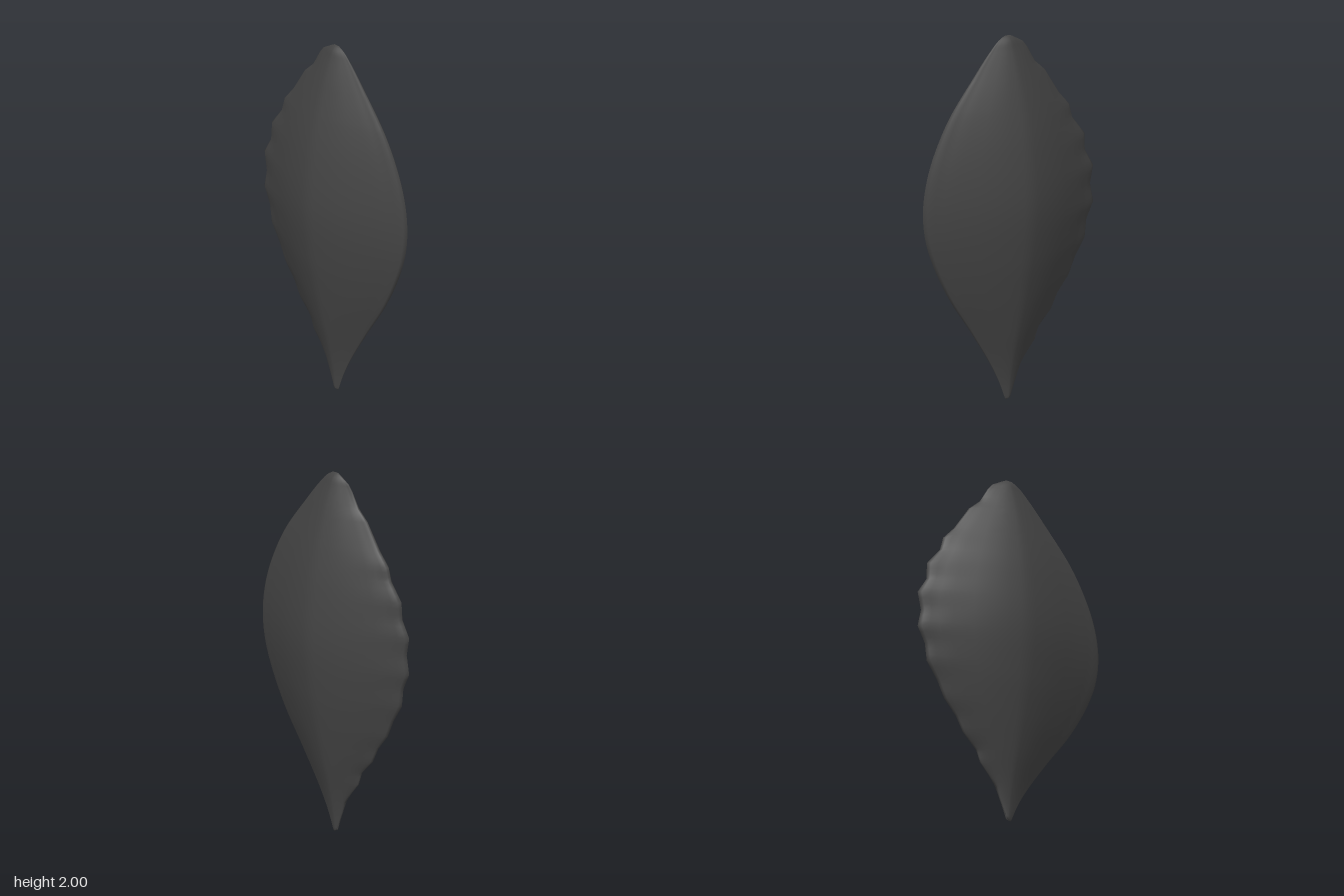
import * as THREE from 'three';

// Smooth or straight interpolation through [position, value] pairs
function curve(pairs, Type) {
  const it = new Type(pairs.map(p => p[0]), pairs.map(p => p[1]), 1, new Float32Array(1));
  return t => it.evaluate(t)[0];
}

// Profiles by height: half thickness, smooth front edge, ragged back edge
const thickness = curve([[0.01, 0.008], [0.1, 0.018], [0.2, 0.038], [0.4, 0.09], [0.6, 0.137], [0.8, 0.176], [1.1, 0.207],
  [1.4, 0.186], [1.6, 0.147], [1.8, 0.09], [1.93, 0.043], [1.98, 0.022], [2, 0.003]], THREE.CubicInterpolant);
const frontEdge = curve([[0.01, 0.022], [0.1, 0.06], [0.2, 0.115], [0.4, 0.25], [0.6, 0.395], [0.8, 0.505], [0.95, 0.56],
  [1.1, 0.578], [1.25, 0.56], [1.4, 0.51], [1.6, 0.4], [1.8, 0.235], [1.93, 0.118], [1.98, 0.062], [2, 0.025]],
  THREE.CubicInterpolant);
const teeth = [[0.01, -0.01], [0.05, 0.025], [0.12, 0.055], [0.18, 0.075], [0.24, 0.125], [0.3, 0.18], [0.37, 0.205],
  [0.45, 0.29], [0.535, 0.335], [0.62, 0.41], [0.715, 0.455], [0.81, 0.52], [0.91, 0.532], [1, 0.578], [1.1, 0.557],
  [1.2, 0.578], [1.29, 0.522], [1.385, 0.518], [1.485, 0.435], [1.56, 0.415], [1.635, 0.345], [1.775, 0.25],
  [1.835, 0.18], [1.92, 0.13], [1.955, 0.1], [1.99, 0.035], [2, 0.01]];
const backEdge = curve(teeth, THREE.LinearInterpolant);

// Cross-section from the middle (0) to an edge (1)
const bulge = curve([[0, 1], [0.08, 0.985], [0.35, 0.8], [0.7, 0.41], [0.9, 0.15], [0.97, 0.07], [1, 0]],
  THREE.LinearInterpolant);
const steps = [0, 0.08, 0.2, 0.35, 0.52, 0.7, 0.82, 0.9, 0.97, 1];

function ring(y) {
  const w = thickness(y), f = frontEdge(y), b = backEdge(y);
  const front = steps.map(u => [w * bulge(u), f * u]);
  // teeth only disturb the outer part of the back
  const back = steps.map(u => [w * bulge(u), -f * u + (f - b) * u ** 5]);
  const half = [...front.slice(1).reverse(), ...back]; // front edge to back edge on +x
  const other = half.slice(1, -1).reverse().map(([x, z]) => [-x, z]);
  return [...half, ...other];
}

function bladeGeometry() {
  const heights = [];
  for (let i = 0; i < teeth.length - 1; i++)
    for (let k = 0; k < 3; k++)
      heights.push(THREE.MathUtils.lerp(teeth[i][0], teeth[i + 1][0], k / 3));
  heights.push(2);

  const pos = [], index = [];
  let n = 0;
  heights.forEach(y => {
    const r = ring(y);
    n = r.length;
    r.forEach(([x, z]) => pos.push(x, y, z));
  });
  for (let j = 0; j < heights.length - 1; j++)
    for (let i = 0; i < n; i++) {
      const a = j * n + i, b = j * n + (i + 1) % n;
      index.push(a, b, b + n, a, b + n, a + n);
    }

  // close both tips
  const last = (heights.length - 1) * n, low = pos.length / 3;
  pos.push(0, 0, 0.015, 0, 2, 0.008);
  for (let i = 0; i < n; i++) {
    const k = (i + 1) % n;
    index.push(low, k, i, low + 1, last + i, last + k);
  }
  const g = new THREE.BufferGeometry();
  g.setAttribute('position', new THREE.Float32BufferAttribute(pos, 3));
  g.setIndex(index);
  g.computeVertexNormals();
  return g;
}

export function createModel() {
  const group = new THREE.Group();
  group.name = 'serratedBlade';
  const darkGrey = new THREE.MeshStandardMaterial({ color: 0x444444 });
  darkGrey.name = 'dark grey';
  const blade = new THREE.Mesh(bladeGeometry(), darkGrey);
  blade.name = 'blade';
  group.add(blade);
  return group;
}
